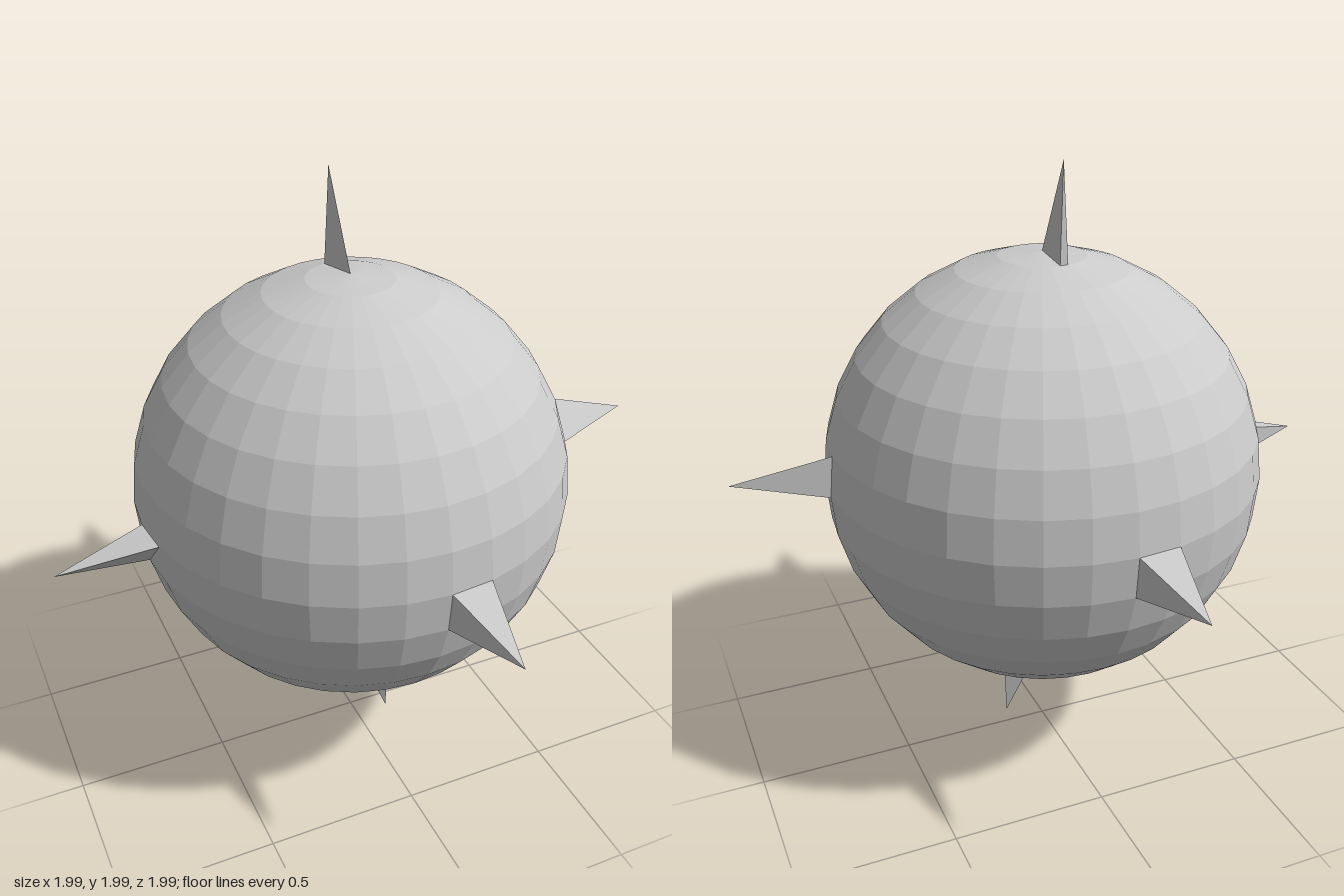
import * as THREE from 'three';

const RADIUS = 0.7, SEGMENTS = 32, RINGS = 16, REACH = 0.993;

// Corner of the ball's grid; segment 0 faces +z, segment 8 faces +x
function gridPoint([ring, seg]) {
  return new THREE.Vector3().setFromSphericalCoords(
    RADIUS, (ring * Math.PI) / RINGS, (seg * 2 * Math.PI) / SEGMENTS);
}

// Three-sided spike on half a grid cell; its tip rises over the middle of edge b-c
function spikeGeometry(corners, axis) {
  let [a, b, c] = corners.map(gridPoint);
  const tip = b.clone().add(c).multiplyScalar(0.5);
  tip.addScaledVector(axis, -tip.dot(axis)).multiplyScalar(0.95).addScaledVector(axis, REACH);
  const normal = b.clone().sub(a).cross(c.clone().sub(a));
  if (normal.dot(axis) < 0) [b, c] = [c, b];
  const geometry = new THREE.BufferGeometry().setFromPoints(
    [a, b, tip, b, c, tip, c, a, tip]);
  geometry.computeVertexNormals();
  return geometry;
}

export function createModel() {
  const group = new THREE.Group();
  group.name = 'spikedBall';
  const material = new THREE.MeshStandardMaterial({ color: 0xcccccc, flatShading: true });

  const add = (name, geometry) => {
    const mesh = new THREE.Mesh(geometry, material);
    mesh.name = name;
    mesh.position.y = 1;
    group.add(mesh);
  };

  // Faceted ball
  add('ball', new THREE.SphereGeometry(RADIUS, SEGMENTS, RINGS));

  // One spike per axis direction: [ring, segment] corners and axis
  const spikes = [
    ['frontSpike', [[8, 0], [8, 1], [9, 0]], [0, 0, 1]],
    ['backSpike', [[8, 16], [8, 17], [9, 16]], [0, 0, -1]],
    ['leftSpike', [[8, 8], [7, 8], [8, 7]], [1, 0, 0]],
    ['rightSpike', [[8, 24], [9, 24], [8, 25]], [-1, 0, 0]],
    ['topSpike', [[0, 0], [1, 16], [1, 17]], [0, 1, 0]],
    ['bottomSpike', [[16, 0], [15, 5], [15, 6]], [0, -1, 0]],
  ];
  for (const [name, corners, axis] of spikes) {
    add(name, spikeGeometry(corners, new THREE.Vector3(...axis)));
  }
  return group;
}
